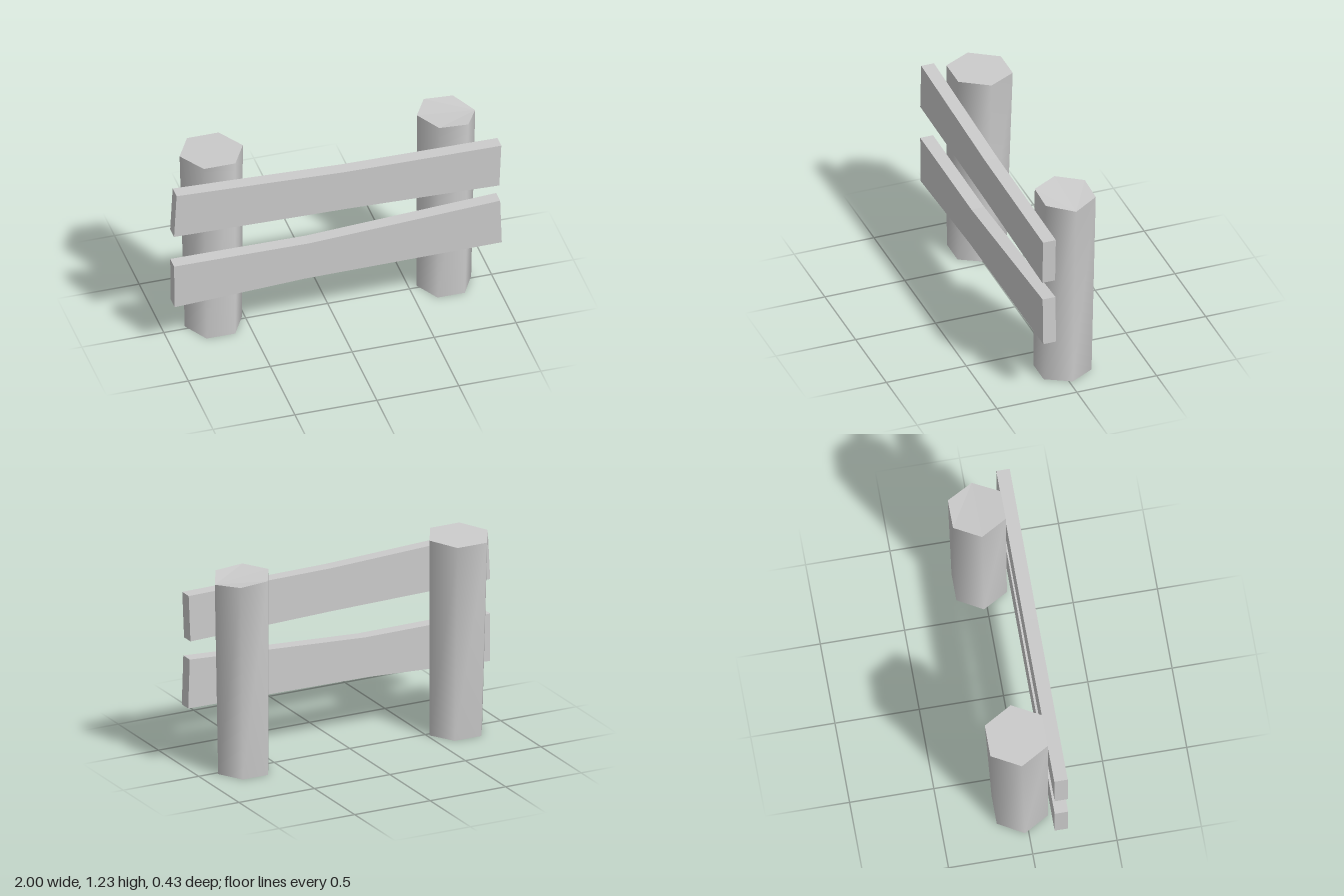
import * as THREE from 'three';

const sideMat = new THREE.MeshStandardMaterial({ color: 0xcccccc, side: THREE.DoubleSide });
const flatMat = new THREE.MeshStandardMaterial({ color: 0xcccccc, flatShading: true, side: THREE.DoubleSide });

// Six corners of a hexagon; the height may slope with x and z
function hexRing(cx, cz, rx, rz, height) {
  return Array.from({ length: 6 }, (_, i) => {
    const a = (i * Math.PI) / 3;
    const x = cx + rx * Math.cos(a), z = cz + rz * Math.sin(a);
    return [x, height(x - cx, z - cz), z];
  });
}

function meshFrom(points, index, material, name) {
  const g = new THREE.BufferGeometry();
  g.setAttribute('position', new THREE.Float32BufferAttribute(points.flat(), 3));
  g.setIndex(index);
  g.computeVertexNormals();
  const mesh = new THREE.Mesh(g, material);
  mesh.name = name;
  return mesh;
}

// Hexagonal post: smooth sides, flat slanted top, open underneath
function makePost(name, bottom, top) {
  const sides = [], cap = [];
  for (let i = 0; i < 6; i++) {
    const j = (i + 1) % 6;
    sides.push(i, i + 6, j, j, i + 6, j + 6);
    if (i > 0 && i < 5) cap.push(0, i + 1, i);
  }
  const post = new THREE.Group();
  post.name = name;
  post.add(meshFrom([...bottom, ...top], sides, sideMat, 'postSides'));
  post.add(meshFrom(top, cap, flatMat, 'postTop'));
  return post;
}

// Plank: slightly bent outline given a thickness
function makeRail(name, outline) {
  const shape = new THREE.Shape(outline.map(([x, y]) => new THREE.Vector2(x, y)));
  const g = new THREE.ExtrudeGeometry(shape, { depth: 0.08, bevelEnabled: false });
  g.translate(0, 0, 0.13);
  const rail = new THREE.Mesh(g, flatMat);
  rail.name = name;
  return rail;
}

export function createModel() {
  const model = new THREE.Group();
  model.name = 'fence';
  const ground = () => 0;

  // Posts widen towards the top and lean slightly backwards
  model.add(makePost('rightPost',
    hexRing(-0.69, -0.023, 0.175, 0.176, ground),
    hexRing(-0.697, -0.045, 0.193, 0.197, (x, z) => 1.222 + 0.045 * z)));
  model.add(makePost('leftPost',
    hexRing(0.715, -0.02, 0.167, 0.173, ground),
    hexRing(0.732, -0.031, 0.178, 0.181, (x, z) => 1.213 - 0.065 * x + 0.03 * z - 0.5 * Math.max(0, x - 0.15))));

  // Rails across the front of the posts
  model.add(makeRail('upperRail',
    [[-1, 0.84], [0.05, 0.822], [0.985, 0.795], [0.997, 1.08], [0.05, 1.09], [-0.985, 1.132]]));
  model.add(makeRail('lowerRail',
    [[-0.997, 0.33], [-0.2, 0.37], [1, 0.38], [0.99, 0.683], [-0.17, 0.62], [-1, 0.625]]));
  return model;
}
